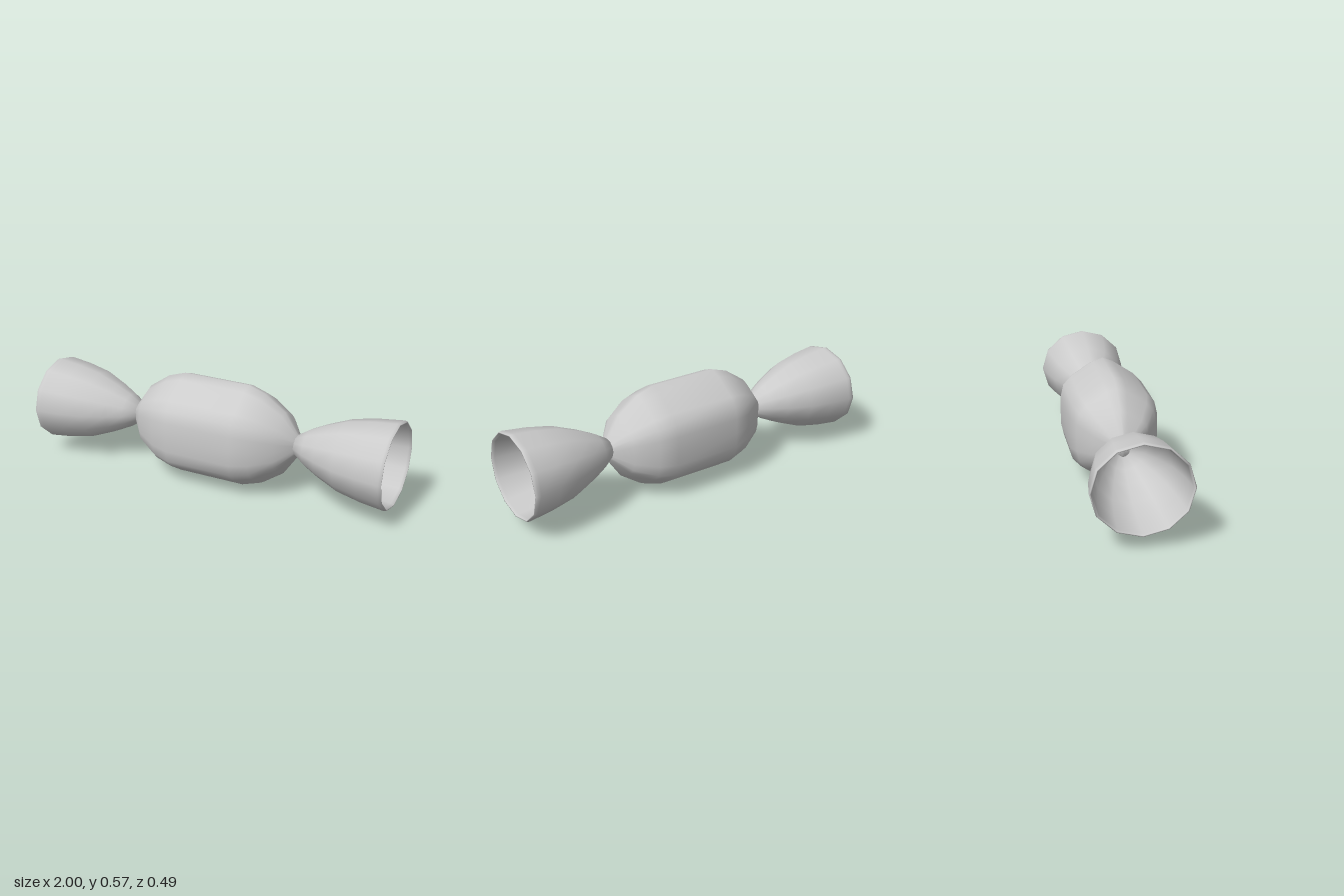
import * as THREE from 'three';

const material = new THREE.MeshStandardMaterial({ color: 0xcccccc });

// Body: a rounded six-sided section, scaled along x.
function bodyGeometry() {
  const quarter = [[0, 0.285], [0.057, 0.264], [0.172, 0.188], [0.213, 0.144], [0.228, 0.08], [0.23, 0]];
  const half = [...quarter, ...quarter.slice(0, -1).reverse().map(([z, y]) => [z, -y])];
  const section = [...half, ...half.slice(1, -1).reverse().map(([z, y]) => [-z, y])];

  const end = [[0.49, 0.001], [0.488, 0.08], [0.475, 0.2], [0.395, 0.61], [0.28, 0.89], [0.185, 1]];
  const rings = [...end.map(([x, s]) => [-x, s]), ...[...end].reverse()];

  const n = section.length;
  const positions = [];
  const index = [];
  rings.forEach(([x, s], i) => {
    section.forEach(([z, y], j) => {
      positions.push(x, y * s, z * s);
      if (i === rings.length - 1) return;
      const a = i * n + j;
      const b = i * n + ((j + 1) % n);
      index.push(a, b, a + n, b, b + n, a + n);
    });
  });
  const geometry = new THREE.BufferGeometry();
  geometry.setAttribute('position', new THREE.Float32BufferAttribute(positions, 3));
  geometry.setIndex(index);
  geometry.computeVertexNormals();
  return geometry;
}

// Twisted end: a twelve-sided hollow flare with a thin rim.
function flareGeometry(side) {
  const profile = [
    [0, 0.455], [0.052, 0.465], [0.095, 0.53], [0.135, 0.61], [0.184, 0.73],
    [0.21, 0.86], [0.223, 0.97], [0.225, 0.985], [0.222, 1], [0.217, 1], [0.212, 0.985],
    [0.2, 0.86], [0.174, 0.73], [0.125, 0.61], [0.083, 0.53], [0.035, 0.483], [0, 0.48],
  ].map(([r, x]) => new THREE.Vector2(r, x));
  const geometry = new THREE.LatheGeometry(profile, 12);
  geometry.rotateZ(-side * Math.PI / 2);
  geometry.scale(1, 1, 1.09);
  return geometry;
}

export function createModel() {
  const model = new THREE.Group();
  model.name = 'wrappedSweet';

  const body = new THREE.Mesh(bodyGeometry(), material);
  body.name = 'body';
  body.position.y = 0.286;
  model.add(body);

  for (const side of [1, -1]) {
    const flare = new THREE.Mesh(flareGeometry(side), material);
    flare.name = side > 0 ? 'leftWrapperEnd' : 'rightWrapperEnd';
    flare.position.y = side > 0 ? 0.294 : 0.284;
    model.add(flare);
  }
  return model;
}
